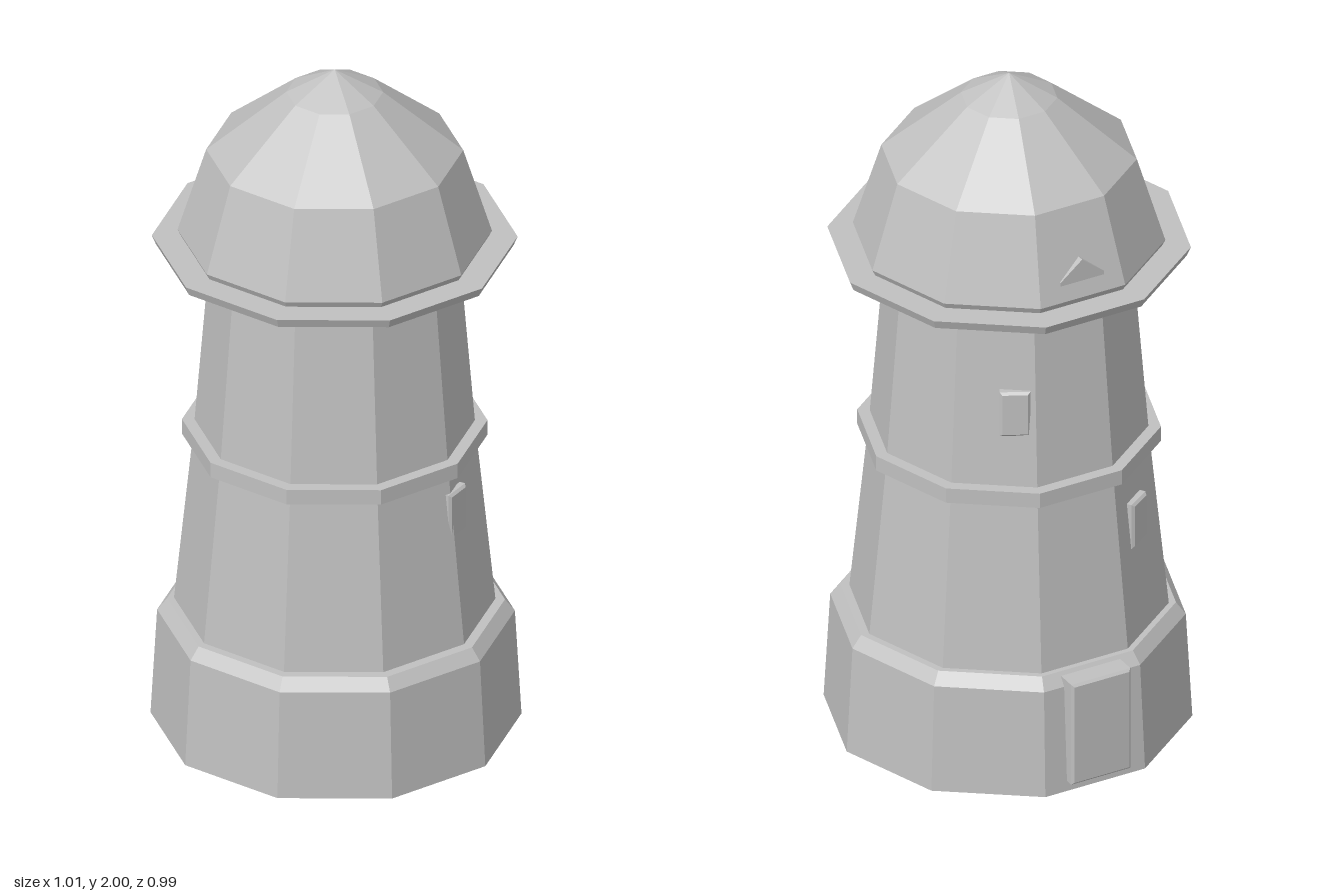
import * as THREE from 'three';

const SIDES = 10;

export function createModel() {
  const tower = new THREE.Group();
  tower.name = 'tower';
  const stone = new THREE.MeshStandardMaterial({ color: 0xc0c0c0 });
  stone.name = 'grey stone';

  const add = (name, geometry) => {
    const flat = geometry.index ? geometry.toNonIndexed() : geometry;
    flat.computeVertexNormals(); // one normal per facet
    const mesh = new THREE.Mesh(flat, stone);
    mesh.name = name;
    tower.add(mesh);
    return mesh;
  };

  // ten-sided ring from a [radius, height] profile, listed from the bottom up
  const turned = (name, profile) => add(name, new THREE.LatheGeometry(
    profile.map(([r, y]) => new THREE.Vector2(r, y)), SIDES, Math.PI / SIDES, Math.PI * 2));

  // upright panel with a bevelled outer edge, facing away from the tower axis
  const panel = (name, w, h, depth, degrees, distance, y) => {
    const b = 0.007;
    const x = w / 2 - b, t = h / 2 - b;
    const shape = new THREE.Shape([[-x, -t], [x, -t], [x, t], [-x, t]]
      .map(p => new THREE.Vector2(...p)));
    const geometry = new THREE.ExtrudeGeometry(shape, {
      depth: depth - 2 * b, bevelThickness: b, bevelSize: b, bevelSegments: 1 });
    geometry.translate(0, 0, b - depth / 2);
    const mesh = add(name, geometry);
    const a = THREE.MathUtils.degToRad(degrees);
    mesh.position.set(Math.sin(a) * distance, y, Math.cos(a) * distance);
    mesh.rotation.y = a;
    return mesh;
  };

  // masonry body
  turned('base', [[0, 0], [0.505, 0], [0.487, 0.32], [0.46, 0.355], [0, 0.355]]).position.z = 0.006;
  turned('lowerWall', [[0.438, 0.35], [0.384, 0.88]]);
  turned('middleBand', [[0.37, 0.865], [0.416, 0.865], [0.416, 0.91], [0.37, 0.91]]);
  turned('upperWall', [[0.384, 0.88], [0.337, 1.46]]);

  // overhanging rim and faceted dome
  turned('rim', [[0.3, 1.455], [0.487, 1.455], [0.498, 1.482], [0.3, 1.482]]);
  turned('dome', [[0.3, 1.48], [0.418, 1.48], [0.428, 1.5], [0.35, 1.75], [0.132, 1.93], [0, 2]]);

  // small gabled hatch set into the back of the dome
  const gable = new THREE.Shape([[-0.068, 1.43], [0.068, 1.43], [0.068, 1.555], [0, 1.61], [-0.068, 1.555]]
    .map(p => new THREE.Vector2(...p)));
  const hatch = add('roofHatch', new THREE.ExtrudeGeometry(gable, { depth: 0.1, bevelEnabled: false }));
  hatch.position.set(-0.005, 0, -0.394);

  // door and windows
  panel('door', 0.185, 0.315, 0.07, 180, 0.468, 0.188).position.x = -0.005;
  panel('frontWindow', 0.084, 0.138, 0.03, 22, 0.385, 0.74);
  panel('backUpperWindow', 0.084, 0.138, 0.035, 153, 0.346, 1.132);
  panel('backLowerWindow', 0.084, 0.138, 0.03, 214, 0.385, 0.69);

  // centre the footprint, door included
  tower.children.forEach(part => { part.position.z += 0.006; });
  return tower;
}
